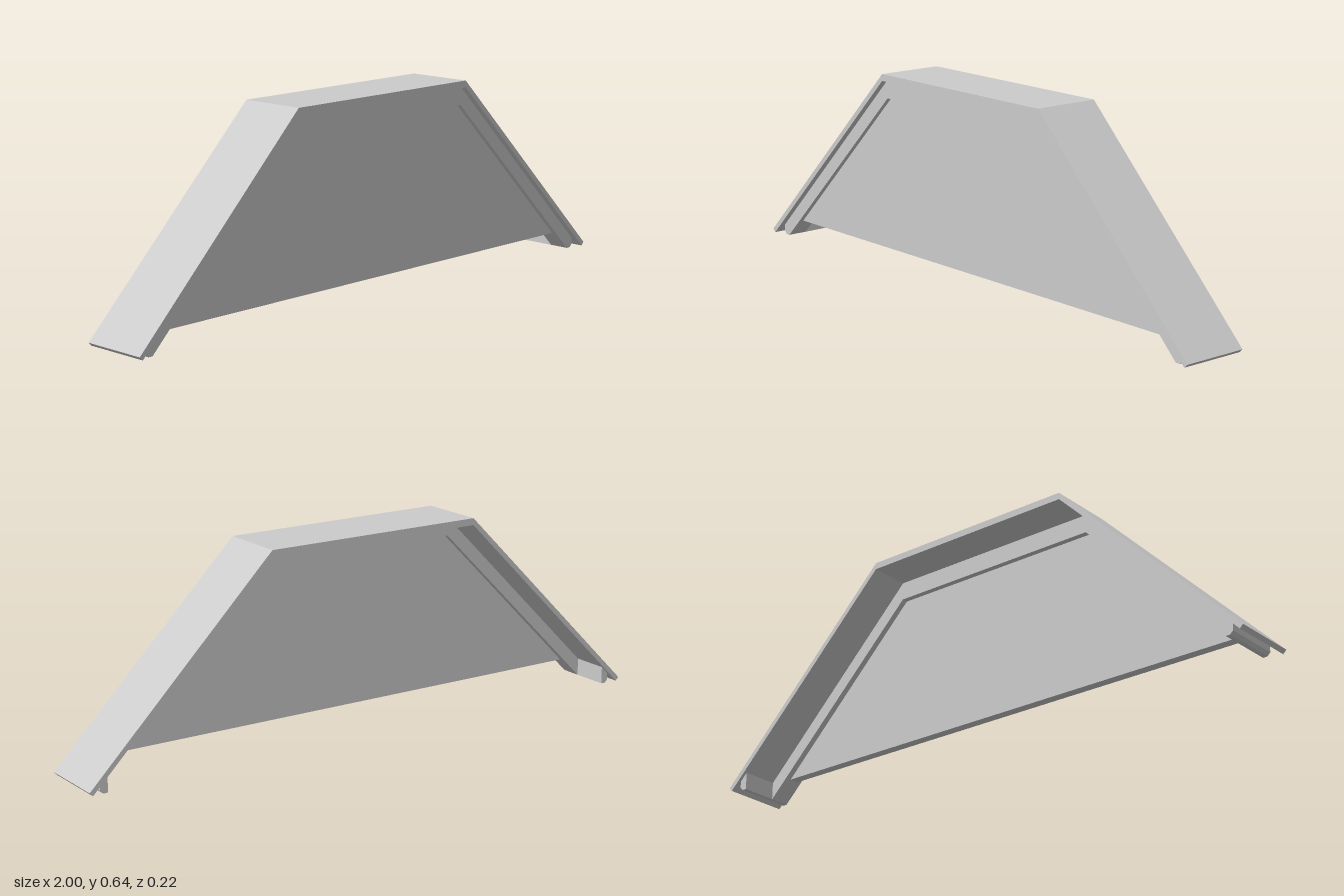
import * as THREE from 'three';

const material = new THREE.MeshStandardMaterial({ color: 0xcccccc, flatShading: true });

// Extrude a front outline between two depths
function slab(name, points, zBack, zFront) {
  const shape = new THREE.Shape(points.map(([x, y]) => new THREE.Vector2(x, y)));
  const geometry = new THREE.ExtrudeGeometry(shape, { depth: zFront - zBack, bevelEnabled: false });
  geometry.translate(0, 0, zBack);
  const mesh = new THREE.Mesh(geometry, material);
  mesh.name = name;
  return mesh;
}

// Complete the left half of an outline with its mirror image
const mirrored = (half) => [...half, ...half.map(([x, y]) => [-x, y]).reverse()];

export function createModel() {
  const group = new THREE.Group();
  group.name = 'dormerRoof';
  const ridge = 0.373; // half width of the flat top

  // Thin roof covering with square-cut eaves
  const outer = [[-1, 0.014], [-ridge, 0.641]];
  const inner = [[ridge, 0.619], [0.989, 0.003]];
  group.add(slab('roofCovering',
    [...mirrored(outer), inner[1], inner[0], [-inner[0][0], inner[0][1]], [-inner[1][0], inner[1][1]]],
    -0.111, 0.111));

  // Rafter frame under the covering, with chamfered feet
  const top = [[-0.935, 0], [-0.95, 0], [-0.96, 0.01], [-0.96, 0.032], [-ridge, 0.619]];
  const under = [[ridge, 0.56], [-ridge, 0.56]];
  group.add(slab('rafterFrame', [...mirrored(top), ...under], 0.022, 0.09));

  // Gable panel set inside the frame
  group.add(slab('gablePanel', mirrored([[-0.873, 0.06], [-ridge, 0.56]]), 0.042, 0.074));

  // Eave battens running back from the rafter feet
  for (const side of [-1, 1]) {
    const profile = [[0.935, 0], [0.95, 0], [0.96, 0.01], [0.96, 0.032], [0.935, 0.057]];
    group.add(slab(side > 0 ? 'leftEaveBatten' : 'rightEaveBatten',
      profile.map(([x, y]) => [x * side, y]), -0.1, 0.022));
  }
  return group;
}
